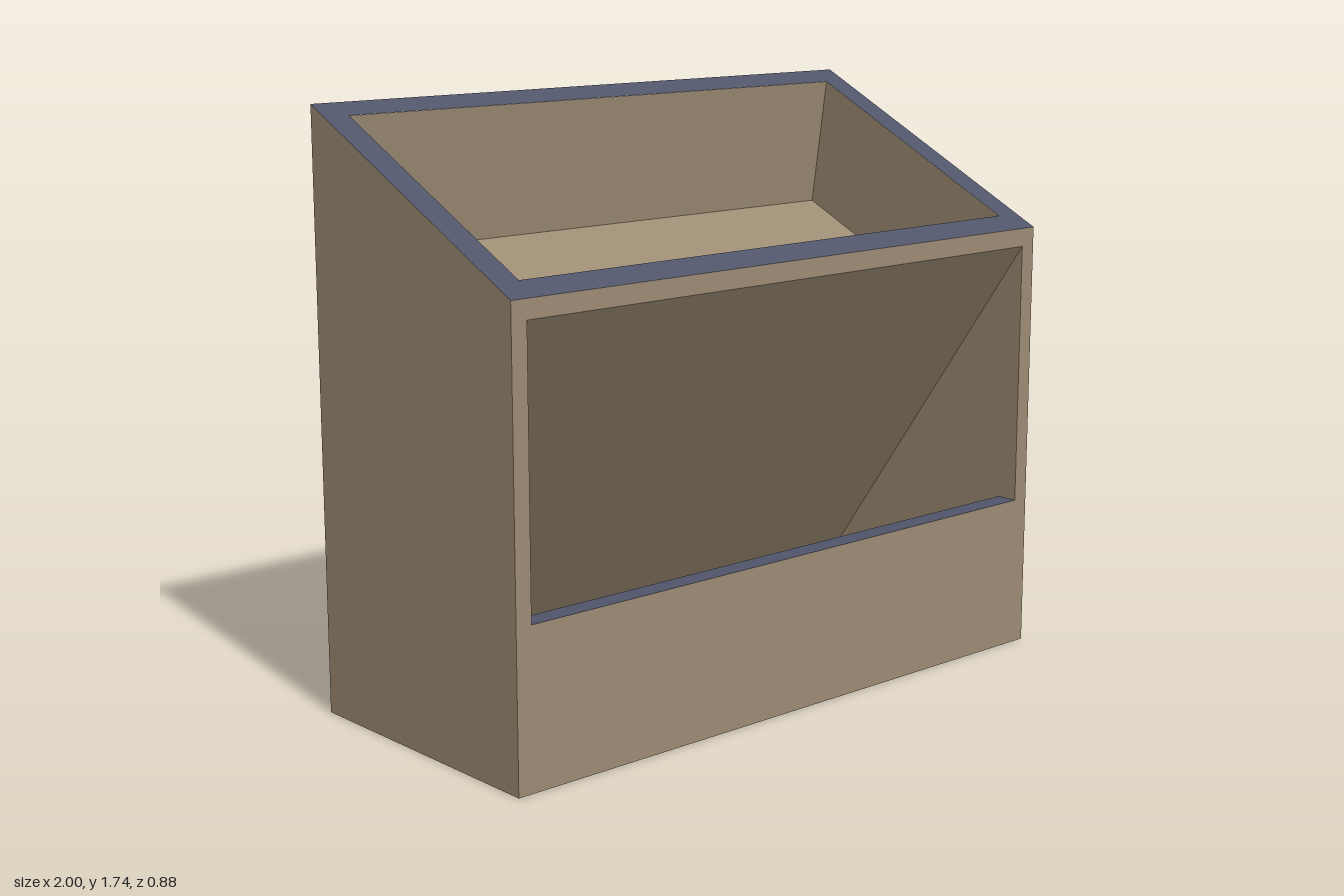
import * as THREE from 'three';

const TAN = new THREE.MeshStandardMaterial({ color: 0x9c8b73, flatShading: true });
const BLUE = new THREE.MeshStandardMaterial({ color: 0x50546a, flatShading: true });

// Side profiles as [z, y] points
const OUTER = [[-0.44, 0], [0.44, 0], [0.44, 1.31], [-0.44, 1.74]];
const BASIN = [[0.37, 1.344], [0.18, 1.03], [-0.435, 1.316], [-0.375, 1.708]];
const CAVITY = [[0.44, 0.46], [0.374, 0.46], [0.374, 0.07], [-0.395, 0.07], [0.44, 1.255]];

// Strip of flat faces following a profile, spanning -w..w in x
function band(profile, w) {
  const pos = [];
  for (let i = 0; i < profile.length - 1; i++) {
    const [z0, y0] = profile[i], [z1, y1] = profile[i + 1];
    const a = [-w, y0, z0], b = [w, y0, z0], c = [w, y1, z1], d = [-w, y1, z1];
    pos.push(...a, ...b, ...c, ...a, ...c, ...d);
  }
  const geo = new THREE.BufferGeometry();
  geo.setAttribute('position', new THREE.Float32BufferAttribute(pos, 3));
  geo.computeVertexNormals();
  return geo;
}

// Flat wall with a [z, y] outline at the given x, facing +x (1) or -x (-1)
function sideWall(profile, x, facing) {
  const shape = new THREE.Shape(profile.map(([z, y]) => new THREE.Vector2(-facing * z, y)));
  return new THREE.ShapeGeometry(shape).rotateY(facing * Math.PI / 2).translate(x, 0, 0);
}

// Rectangle 2 wide and h high with a rectangular hole
function frame(h, holeW, holeY0, holeY1) {
  const rect = (w, y0, y1) => [[-w, y0], [w, y0], [w, y1], [-w, y1]].map(([x, y]) => new THREE.Vector2(x, y));
  const shape = new THREE.Shape(rect(1, 0, h));
  shape.holes.push(new THREE.Path(rect(holeW, holeY0, holeY1)));
  return new THREE.ShapeGeometry(shape);
}

export function createModel() {
  const model = new THREE.Group();
  const add = (name, geo, mat = TAN) => {
    const mesh = new THREE.Mesh(geo, mat);
    mesh.name = name;
    model.add(mesh);
  };

  // Outer cabinet
  add('backAndBase', band([OUTER[3], OUTER[0], OUTER[1]], 1));
  add('frontPanel', frame(1.31, 0.95, 0.46, 1.255).translate(0, 0, 0.44));

  // Sloping rim around the top opening
  const slope = Math.hypot(0.88, 0.43), perZ = slope / 0.88;
  const rim = frame(slope, 0.92, 0.07 * perZ, 0.815 * perZ);
  rim.rotateX(-Math.atan2(0.88, 0.43)).translate(0, 1.31, 0.44);
  add('topRim', rim, BLUE);

  // Upper tray and lower bin with its sloping ceiling
  add('trayFloor', band(BASIN, 0.92));
  add('frontLip', band(CAVITY.slice(0, 2), 0.95), BLUE);
  add('binLining', band(CAVITY.slice(1), 0.95));

  // Mirrored side walls
  for (const s of [1, -1]) {
    const side = s > 0 ? 'left' : 'right';
    add(side + 'OuterWall', sideWall(OUTER, s, s));
    add(side + 'TrayWall', sideWall(BASIN, 0.92 * s, -s));
    add(side + 'BinWall', sideWall(CAVITY, 0.95 * s, -s));
  }
  return model;
}
